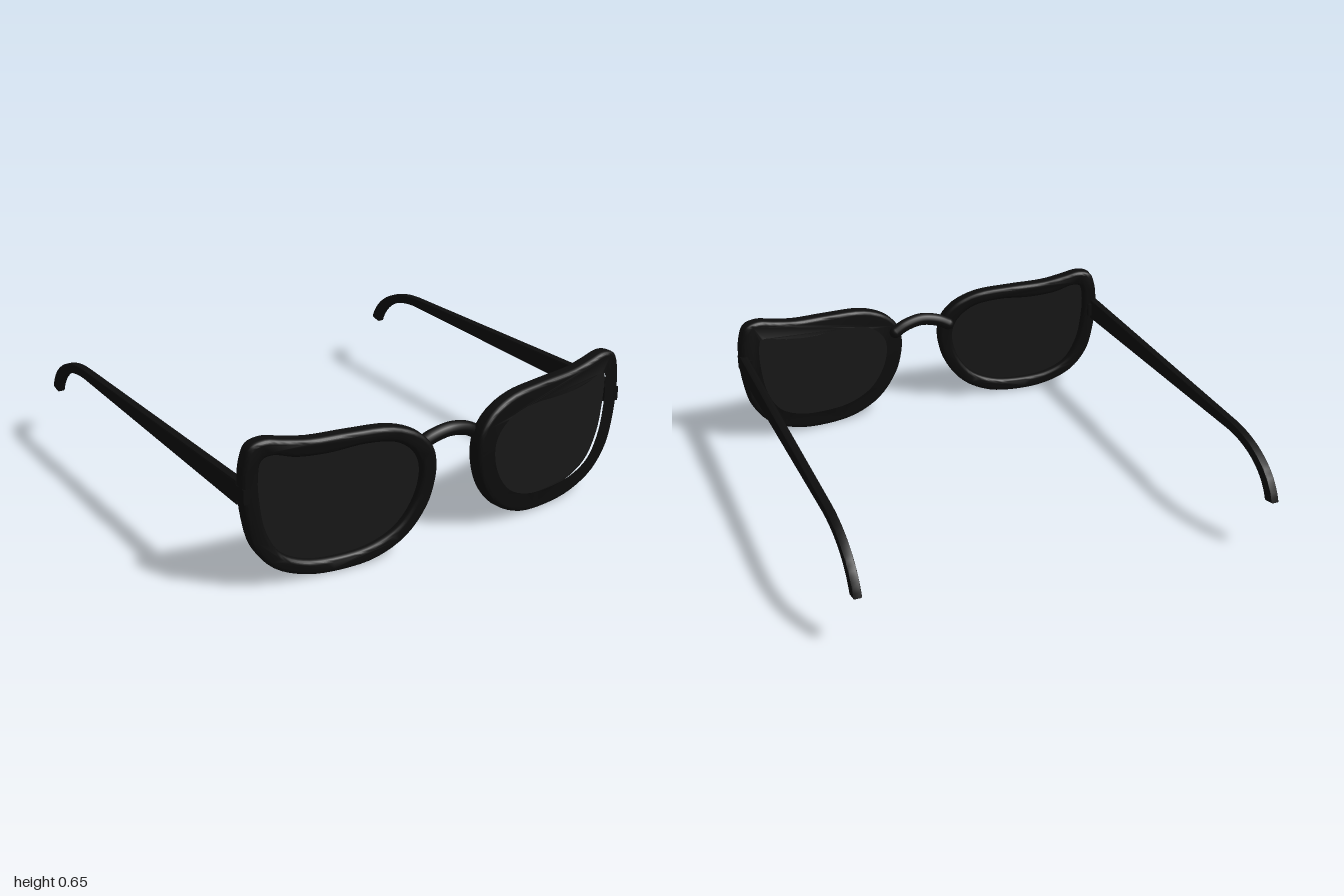
import * as THREE from 'three';
import { toCreasedNormals } from 'three/addons/utils/BufferGeometryUtils.js';

const frameMat = new THREE.MeshStandardMaterial({ color: 0x0d0d0d });
const lensMat = new THREE.MeshStandardMaterial({ color: 0x181818 });

// Outlines of the rim and its opening, as seen from the front
const OUTER = [[0.105, 0.40], [0.125, 0.475], [0.19, 0.545], [0.31, 0.595], [0.5, 0.61], [0.68, 0.617],
  [0.79, 0.637], [0.87, 0.653], [0.935, 0.635], [0.965, 0.56], [0.972, 0.45], [0.96, 0.32], [0.925, 0.19],
  [0.84, 0.085], [0.7, 0.022], [0.54, 0.004], [0.38, 0.02], [0.24, 0.09], [0.145, 0.21], [0.11, 0.32]];
const INNER = [[0.178, 0.38], [0.205, 0.455], [0.29, 0.522], [0.43, 0.546], [0.6, 0.54], [0.74, 0.552],
  [0.84, 0.58], [0.884, 0.568], [0.9, 0.5], [0.895, 0.38], [0.872, 0.26], [0.81, 0.148], [0.7, 0.088],
  [0.54, 0.07], [0.4, 0.085], [0.28, 0.145], [0.2, 0.26]];

const PIVOT = { x: 0.54, z: 0.915 }; // middle of a lens
const SWEEP = 0.108; // backward sweep of each lens

function outline(points, s) {
  const pts = points.map(([x, y]) => new THREE.Vector3(s * (x - PIVOT.x) / Math.cos(SWEEP), y, 0));
  return new THREE.CatmullRomCurve3(pts, true).getPoints(80).slice(0, -1)
    .map((p) => new THREE.Vector2(p.x, p.y));
}

function add(parent, name, geometry, material = frameMat) {
  const mesh = new THREE.Mesh(geometry, material);
  mesh.name = name;
  parent.add(mesh);
  return mesh;
}

// Rim with rounded edges and a thin lens, swept back
function lensUnit(s, side) {
  const group = new THREE.Group();
  group.name = side + 'LensUnit';
  const shape = new THREE.Shape(outline(OUTER, s));
  shape.holes.push(new THREE.Path(outline(INNER, s)));
  const rim = new THREE.ExtrudeGeometry(shape, {
    depth: 0.034, bevelThickness: 0.019, bevelSize: 0.019, bevelOffset: -0.019, bevelSegments: 4,
  });
  rim.translate(0, 0, -0.017);
  add(group, side + 'Rim', toCreasedNormals(rim, 0.6));

  const lens = new THREE.ExtrudeGeometry(new THREE.Shape(outline(INNER, s)), {
    depth: 0.006, bevelThickness: 0.002, bevelSize: 0.012, bevelOffset: 0, bevelSegments: 1,
  });
  lens.translate(0, 0, -0.003);
  add(group, side + 'Lens', lens, lensMat);

  group.position.set(s * PIVOT.x, 0, PIVOT.z);
  group.rotation.y = s * SWEEP;
  return group;
}

// Tapered temple arm with a curved ear hook; the profile runs backward along x
function templeGeometry() {
  const shape = new THREE.Shape();
  shape.moveTo(-0.85, 0.38);
  shape.lineTo(-0.85, 0.485);
  shape.lineTo(0.6, 0.463);
  shape.bezierCurveTo(0.78, 0.46, 0.95, 0.39, 0.998, 0.247);
  shape.lineTo(0.942, 0.235);
  shape.bezierCurveTo(0.9, 0.35, 0.77, 0.415, 0.6, 0.417);
  shape.closePath();
  const geo = new THREE.ExtrudeGeometry(shape, {
    depth: 0.026, bevelThickness: 0.006, bevelSize: 0.006, bevelOffset: -0.006, bevelSegments: 2, curveSegments: 20,
  });
  geo.translate(0, 0, -0.013);
  geo.rotateY(Math.PI / 2);
  return toCreasedNormals(geo, 0.5);
}

export function createModel() {
  const model = new THREE.Group();
  model.name = 'sunglasses';
  for (const [s, side] of [[1, 'left'], [-1, 'right']]) {
    model.add(lensUnit(s, side));
    add(model, side + 'Temple', templeGeometry()).position.x = s * 0.956;
    add(model, side + 'Hinge', new THREE.BoxGeometry(0.054, 0.065, 0.085)).position.set(s * 0.946, 0.433, 0.865);
  }

  // Arched nose bridge
  const arch = new THREE.CatmullRomCurve3([
    [-0.145, 0.45, 0.912], [-0.09, 0.478, 0.917], [0, 0.495, 0.922], [0.09, 0.478, 0.917], [0.145, 0.45, 0.912],
  ].map((p) => new THREE.Vector3(...p)));
  add(model, 'bridge', new THREE.TubeGeometry(arch, 32, 0.031, 16));
  // Closed ends of the bridge
  for (const t of [0, 1]) {
    add(model, 'bridgeEnd', new THREE.SphereGeometry(0.031, 16, 10)).position.copy(arch.getPoint(t));
  }
  return model;
}
